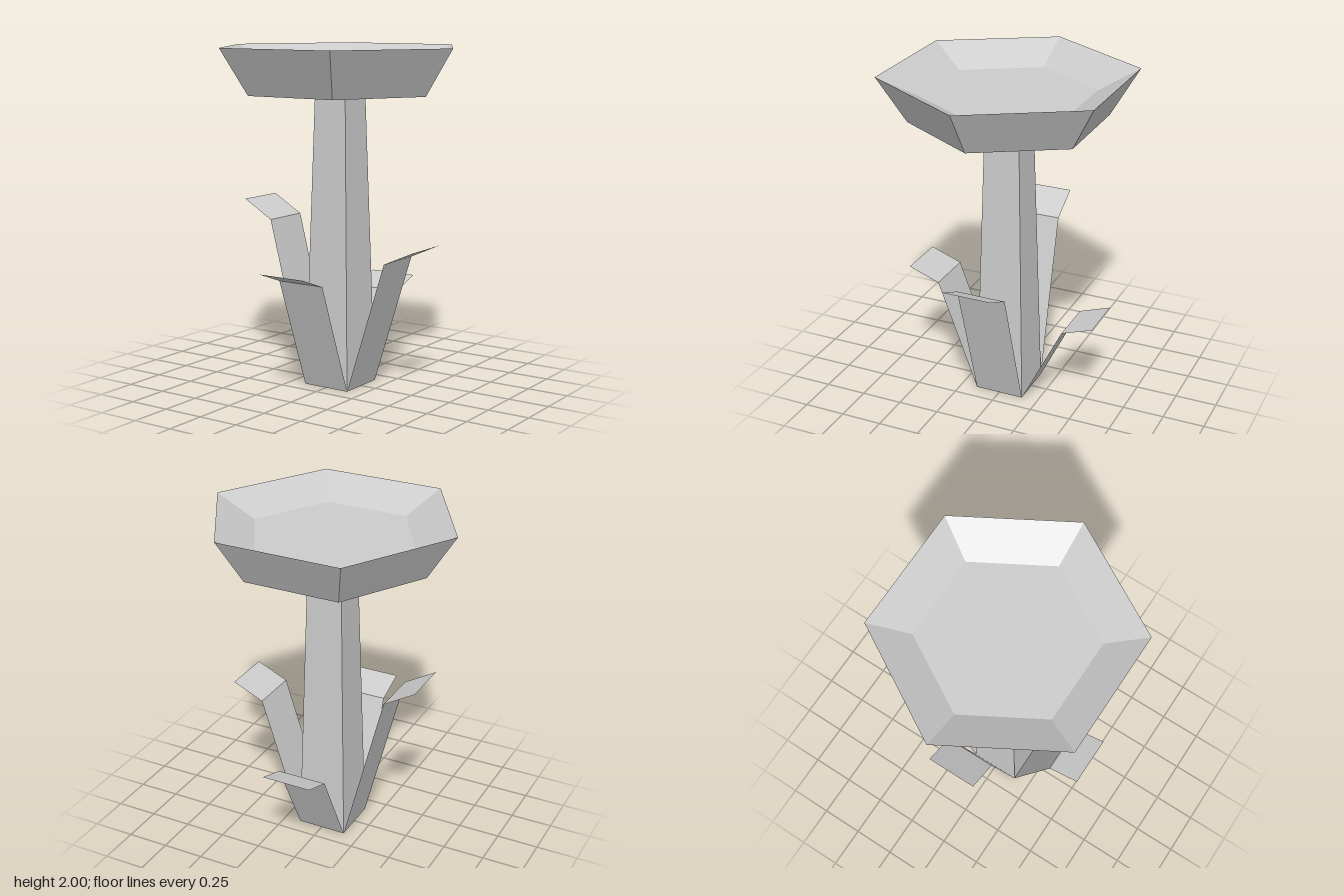
import * as THREE from 'three';

const BASE = 0.15; // half width of the stem at the ground

function makeMesh(name, geometry, side = THREE.FrontSide) {
  const material = new THREE.MeshStandardMaterial({ color: 0xcccccc, flatShading: true, side });
  const mesh = new THREE.Mesh(geometry, material);
  mesh.name = name;
  return mesh;
}

// Flat leaf strip leaning out along +z, with a tip folded outwards
function makeLeaf(name, angle, bendY, tipY) {
  const geometry = new THREE.PlaneGeometry(2 * BASE, 1, 1, 2);
  const rows = [[tipY, 0.59], [bendY, 0.4], [0, BASE]]; // [y, z] from tip to base
  const position = geometry.attributes.position;
  for (let i = 0; i < position.count; i++) {
    const [y, z] = rows[Math.floor(i / 2)];
    position.setY(i, y);
    position.setZ(i, z);
  }
  geometry.computeVertexNormals();
  const leaf = makeMesh(name, geometry, THREE.DoubleSide);
  leaf.rotation.y = angle;
  return leaf;
}

export function createModel() {
  const model = new THREE.Group();
  model.name = 'flower';

  // Square tapering stem
  const stemGeometry = new THREE.CylinderGeometry(
    0.105 * Math.SQRT2, BASE * Math.SQRT2, 1.73, 4, 1, false, Math.PI / 4);
  stemGeometry.translate(0, 1.73 / 2, 0);
  model.add(makeMesh('stem', stemGeometry));

  // Six-sided bowl-shaped bloom with a sunken floor
  const profile = [[0, 1.73], [0.575, 1.73], [0.745, 2], [0.503, 1.88], [0, 1.88]]
    .map(([r, y]) => new THREE.Vector2(r, y));
  model.add(makeMesh('bloom', new THREE.LatheGeometry(profile, 6, Math.PI / 6)));

  // Four leaves of differing heights around the stem
  const leaves = [
    ['frontLeaf', 0, 0.67, 0.74],
    ['leftLeaf', Math.PI / 2, 0.785, 0.87],
    ['backLeaf', Math.PI, 0.505, 0.57],
    ['rightLeaf', -Math.PI / 2, 0.97, 1.08],
  ];
  for (const leaf of leaves) model.add(makeLeaf(...leaf));

  return model;
}
